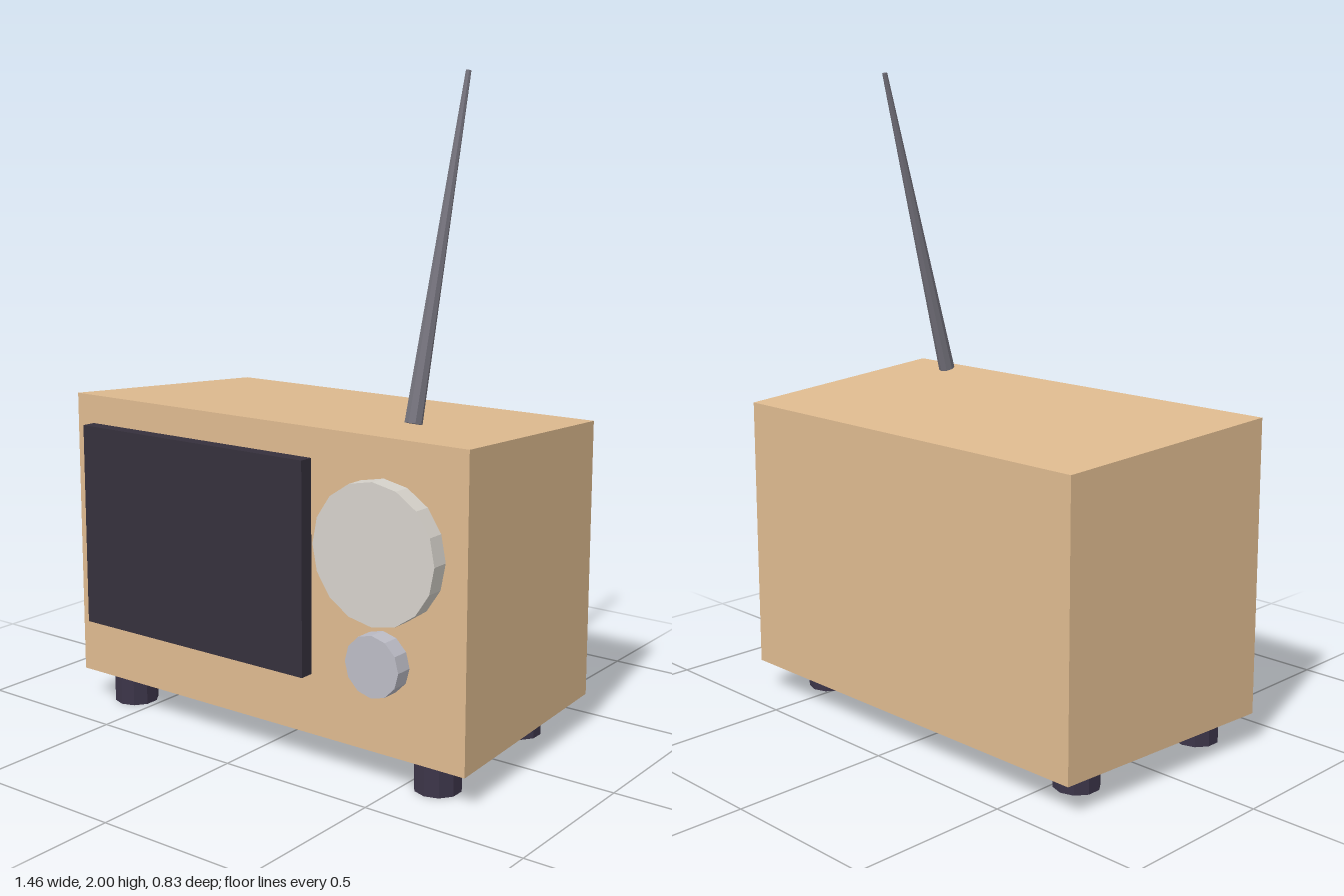
import * as THREE from 'three';

const paint = (color) => new THREE.MeshStandardMaterial({ color, flatShading: true });

export function createModel() {
  const model = new THREE.Group();
  const wood = paint(0xdeba8f);
  const dark = paint(0x35303c);
  const footPaint = paint(0x3c3549);
  const metal = paint(0x74727c);

  const add = (name, geometry, material, x, y, z) => {
    const mesh = new THREE.Mesh(geometry, material);
    mesh.name = name;
    mesh.position.set(x, y, z);
    model.add(mesh);
    return mesh;
  };

  // Cabinet: a box narrowing toward the back, with the top sloping down
  const front = 0.36, back = -0.415, bottom = 0.097;
  const cabinet = new THREE.BoxGeometry(2, 1, 2);
  const p = cabinet.attributes.position;
  for (let i = 0; i < p.count; i++) {
    const isFront = p.getZ(i) > 0;
    const top = isFront ? 1.01 : 0.965;
    p.setXYZ(i,
      p.getX(i) * (isFront ? 0.732 : 0.686),
      p.getY(i) > 0 ? top : bottom,
      isFront ? front : back);
  }
  cabinet.computeVertexNormals();
  add('cabinet', cabinet, wood, 0, 0, 0);

  // Screen panel
  add('screen', new THREE.BoxGeometry(0.87, 0.64, 0.065), dark, -0.23, 0.6, 0.3725);

  // Round controls on the front
  const control = (name, radius, sides, y, color) => {
    const geometry = new THREE.CylinderGeometry(radius, radius, 0.075, sides).rotateX(Math.PI / 2);
    add(name, geometry, paint(color), 0.457, y, 0.3775);
  };
  control('dial', 0.205, 16, 0.69, 0xd6d2cb);
  control('knob', 0.091, 12, 0.37, 0xbcbcc6);

  // Feet, the rear pair set slightly closer together
  const footGeometry = new THREE.CylinderGeometry(0.07, 0.07, 0.1, 10);
  for (const side of [-1, 1]) {
    add('frontFoot', footGeometry, footPaint, side * 0.588, 0.05, 0.272);
    add('rearFoot', footGeometry, footPaint, side * 0.553, 0.05, -0.232);
  }

  // Tapered antenna leaning back
  const base = new THREE.Vector3(0.457, 1.026, 0.218);
  const tip = new THREE.Vector3(0.457, 1.998, -0.041);
  const lean = tip.clone().sub(base);
  const antenna = add('antenna', new THREE.CylinderGeometry(0.008, 0.026, lean.length(), 8), metal, 0, 0, 0);
  antenna.position.copy(base).add(tip).multiplyScalar(0.5);
  antenna.rotation.x = Math.atan2(lean.z, lean.y);

  return model;
}
